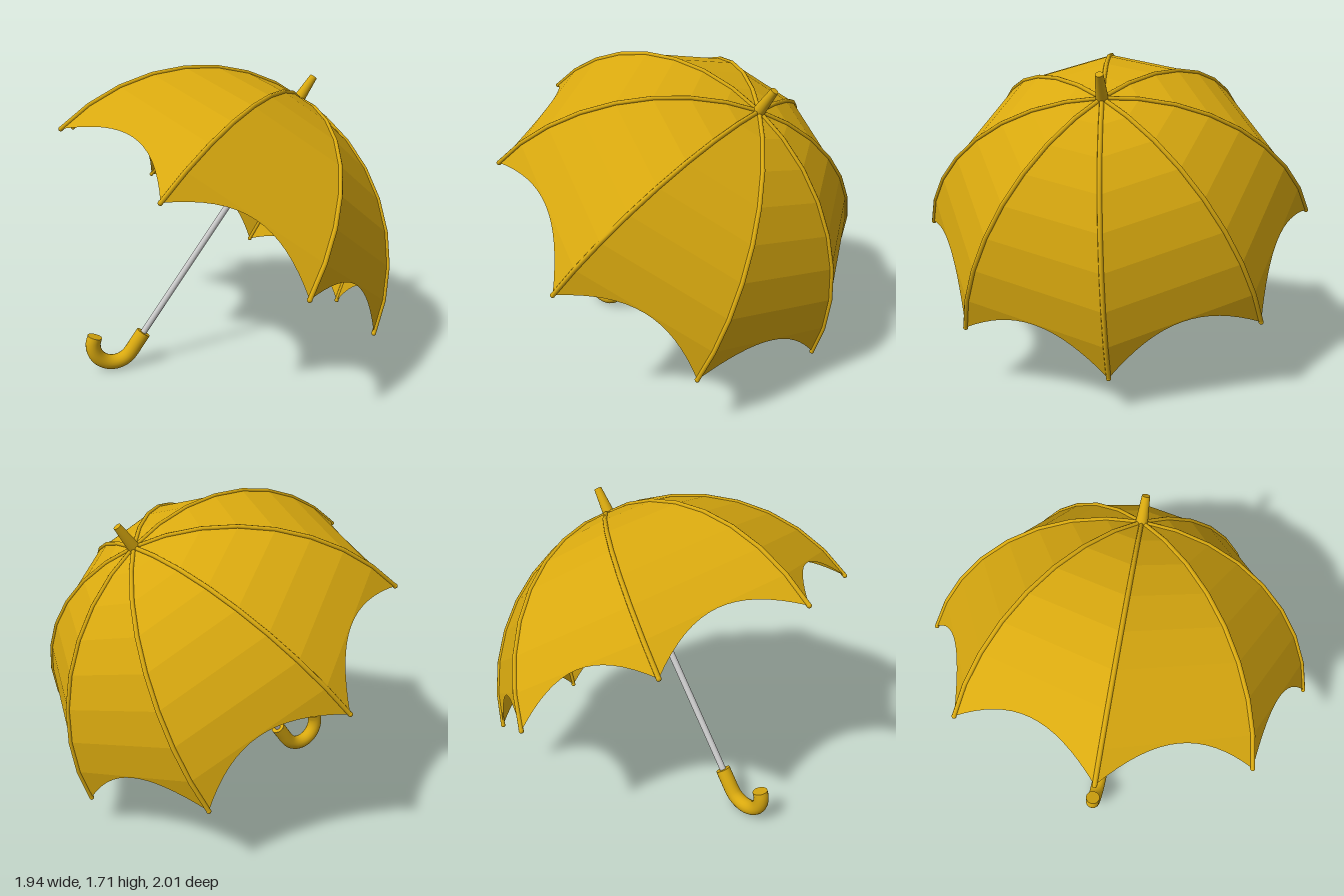
import * as THREE from 'three';

const gold = new THREE.MeshStandardMaterial({ color: 0xd9a90f });
const fabric = new THREE.MeshStandardMaterial({ color: 0xd9a90f, side: THREE.DoubleSide, flatShading: true });
const metal = new THREE.MeshStandardMaterial({ color: 0xcccccc });

// Canopy is a spherical cap whose eight ribs are joined by flat bands of cloth
const RIBS = 8, ROWS = 8, HEM_STEPS = 16;
const R = 1.092, CENTRE_Y = -0.23, SPAN = THREE.MathUtils.degToRad(77.7);
const TURN = THREE.MathUtils.degToRad(-4.5);

function ribPoint(rib, row) {
  const phi = (row / ROWS) * SPAN;
  const a = TURN + (rib / RIBS) * Math.PI * 2;
  const r = R * Math.sin(phi);
  return new THREE.Vector3(r * Math.cos(a), CENTRE_Y + R * Math.cos(phi), r * Math.sin(a));
}

function add(parent, name, geometry, material) {
  const mesh = new THREE.Mesh(geometry, material);
  mesh.name = name;
  parent.add(mesh);
  return mesh;
}

// One cloth panel: straight bands, the last one cut to a scalloped hem
function panelGeometry(rib) {
  const pos = [];
  const tri = (...pts) => pts.forEach((p) => pos.push(p.x, p.y, p.z));
  const quad = (a, b, c, d) => { tri(a, b, c); tri(a, c, d); };
  for (let row = 0; row < ROWS - 1; row++) {
    const a = ribPoint(rib, row), b = ribPoint(rib + 1, row);
    const c = ribPoint(rib + 1, row + 1), d = ribPoint(rib, row + 1);
    if (row === 0) tri(a, c, d);
    else quad(a, b, c, d);
  }
  const point = (u, row) => ribPoint(rib, row).lerp(ribPoint(rib + 1, row), u);
  const hem = (u) => {
    const drop = 0.04 + 0.96 * (2 * u - 1) ** 2;
    return point(u, ROWS - 1).lerp(point(u, ROWS), drop);
  };
  for (let i = 0; i < HEM_STEPS; i++) {
    const u = i / HEM_STEPS, v = (i + 1) / HEM_STEPS;
    quad(point(u, ROWS - 1), point(v, ROWS - 1), hem(v), hem(u));
  }
  const g = new THREE.BufferGeometry();
  g.setAttribute('position', new THREE.Float32BufferAttribute(pos, 3));
  g.computeVertexNormals();
  return g;
}

// Rib following the faceted profile, with a rounded tip
function addRib(parent, rib) {
  const path = new THREE.CurvePath();
  for (let row = 0; row < ROWS; row++) {
    path.add(new THREE.LineCurve3(ribPoint(rib, row), ribPoint(rib, row + 1)));
  }
  add(parent, 'rib', new THREE.TubeGeometry(path, ROWS * 2, 0.012, 8), gold);
  add(parent, 'ribTip', new THREE.SphereGeometry(0.013, 10, 8), gold).position.copy(ribPoint(rib, ROWS));
}

// Rod along the umbrella's own axis
function addRod(parent, name, rTop, rBottom, y0, y1, material) {
  const mesh = add(parent, name, new THREE.CylinderGeometry(rTop, rBottom, y1 - y0, 20), material);
  mesh.position.y = (y0 + y1) / 2;
}

// Crook handle: short straight grip, then a hook, closed by flat end discs
function addHandle(parent) {
  const top = -0.74, bend = -0.87, r = 0.12, sweep = THREE.MathUtils.degToRad(170);
  const pts = [new THREE.Vector3(0, top, 0), new THREE.Vector3(0, (top + bend) / 2, 0)];
  for (let i = 0; i <= 10; i++) {
    const a = Math.PI + (i / 10) * sweep;
    pts.push(new THREE.Vector3(r + r * Math.cos(a), bend + r * Math.sin(a), 0));
  }
  const curve = new THREE.CatmullRomCurve3(pts);
  const handle = new THREE.Group();
  handle.name = 'handle';
  parent.add(handle);
  add(handle, 'crook', new THREE.TubeGeometry(curve, 40, 0.042, 18), gold);
  for (const t of [0, 1]) {
    const cap = add(handle, 'handleEnd', new THREE.CircleGeometry(0.042, 18), gold);
    const out = curve.getTangentAt(t).multiplyScalar(t ? 1 : -1);
    cap.position.copy(curve.getPointAt(t));
    cap.quaternion.setFromUnitVectors(new THREE.Vector3(0, 0, 1), out);
  }
}

export function createModel() {
  const model = new THREE.Group();
  model.name = 'umbrella';

  const body = new THREE.Group();
  body.name = 'tiltedUmbrella';
  model.add(body);

  const canopy = new THREE.Group();
  canopy.name = 'canopy';
  body.add(canopy);
  for (let i = 0; i < RIBS; i++) {
    add(canopy, 'clothPanel', panelGeometry(i), fabric);
    addRib(canopy, i);
  }

  addRod(body, 'shaft', 0.018, 0.018, -0.78, 0.86, metal);
  addRod(body, 'ferrule', 0.021, 0.034, 0.84, 1.01, gold);
  addHandle(body);

  // Lean the shaft, with the hook lying in the vertical plane of the lean
  const y = new THREE.Vector3(0.478, 0.806, -0.348).normalize();
  const z = new THREE.Vector3(y.z, 0, -y.x).normalize();
  const x = new THREE.Vector3().crossVectors(y, z);
  body.quaternion.setFromRotationMatrix(new THREE.Matrix4().makeBasis(x, y, z));
  body.position.set(-0.026, 0.8, 0.005);
  return model;
}
